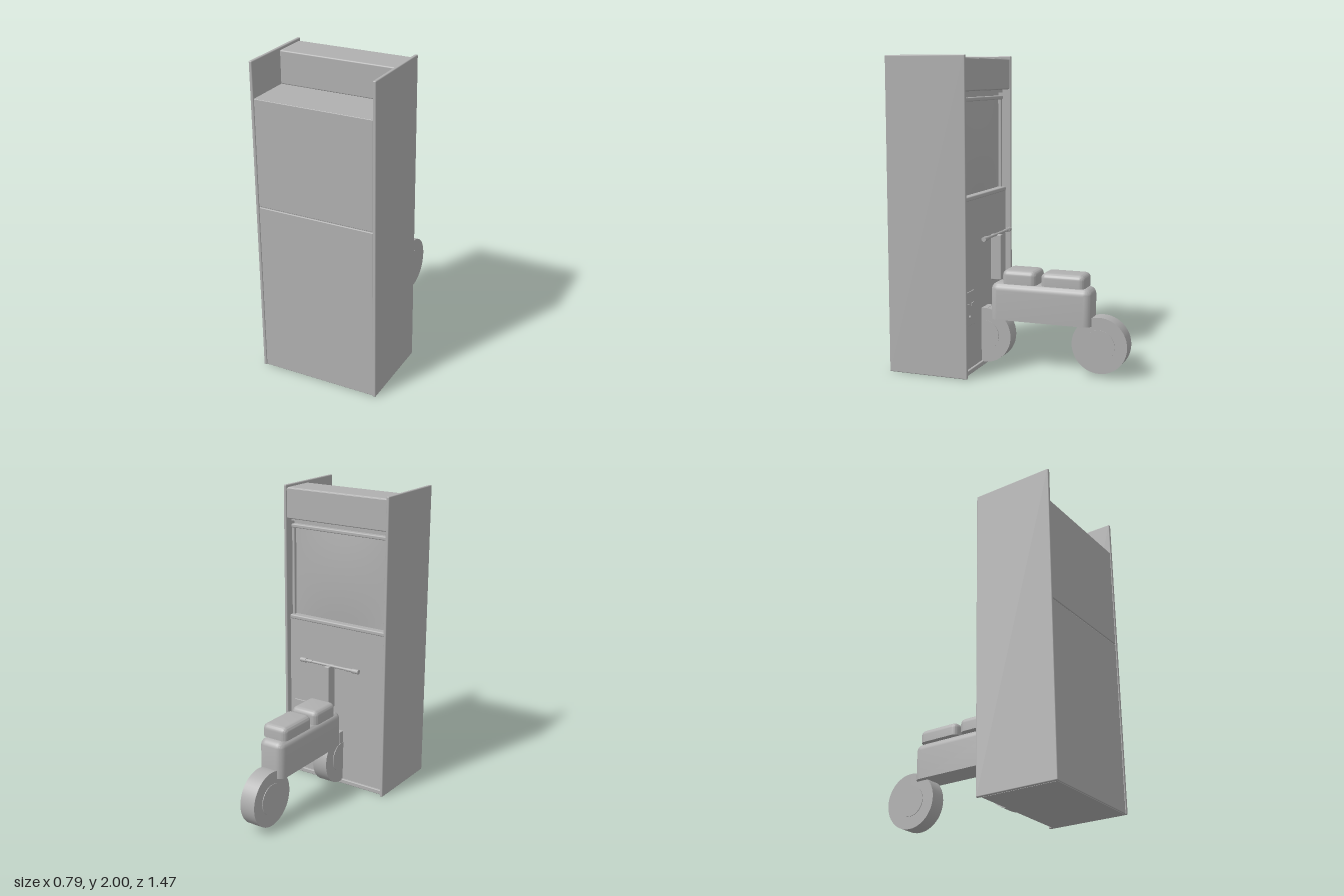
import * as THREE from 'three';
import { toCreasedNormals } from 'three/addons/utils/BufferGeometryUtils.js';
import { RoundedBoxGeometry } from 'three/addons/geometries/RoundedBoxGeometry.js';

const grey = new THREE.MeshStandardMaterial({ color: 0xb0b0b0 });
grey.name = 'grey';

function add(parent, name, geometry, x = 0, y = 0, z = 0) {
  const mesh = new THREE.Mesh(geometry, grey);
  mesh.name = name;
  mesh.position.set(x, y, z);
  parent.add(mesh);
  return mesh;
}

// Box given by its limits on each axis, optionally with rounded edges
function block(parent, name, [x0, x1], [y0, y1], [z0, z1], radius = 0) {
  const size = [x1 - x0, y1 - y0, z1 - z0];
  const geometry = radius ? new RoundedBoxGeometry(...size, 2, radius) : new THREE.BoxGeometry(...size);
  return add(parent, name, geometry, (x0 + x1) / 2, (y0 + y1) / 2, (z0 + z1) / 2);
}

// Rounded box whose lower half is squared off to a flat base
function cushion(parent, name, halfWidth, [y0, y1], [z0, z1], radius) {
  const h = y1 - y0;
  const geometry = new RoundedBoxGeometry(halfWidth * 2, h, z1 - z0, 5, radius);
  const p = geometry.attributes.position;
  for (let i = 0; i < p.count; i++) if (p.getY(i) < 0) p.setY(i, -h / 2);
  return add(parent, name, toCreasedNormals(geometry, 0.7), 0, (y0 + y1) / 2, (z0 + z1) / 2);
}

function rod(parent, name, radius, length, x, y, z) {
  const mesh = add(parent, name, new THREE.CylinderGeometry(radius, radius, length, 20), x, y, z);
  mesh.rotation.z = Math.PI / 2;
  return mesh;
}

function makeCabinet() {
  const g = new THREE.Group();
  g.name = 'cabinet';
  const inner = [-0.375, 0.375];

  // Side panels
  for (const s of [-1, 1]) {
    block(g, s > 0 ? 'leftSidePanel' : 'rightSidePanel',
      s > 0 ? [0.374, 0.394] : [-0.394, -0.374], [0, 2], [0.2, 0.735], 0.006);
  }

  // Main case, with a seam between the two outer doors
  block(g, 'lowerCase', inner, [0, 1.105], [0.24, 0.722]);
  block(g, 'upperCase', inner, [1.105, 1.775], [0.29, 0.722]);
  block(g, 'lowerDoor', inner, [0.003, 1.104], [0.715, 0.73], 0.004);
  block(g, 'upperDoor', inner, [1.11, 1.78], [0.715, 0.73], 0.004);
  block(g, 'caseTop', inner, [1.76, 1.78], [0.26, 0.728]);
  block(g, 'kickRail', inner, [0, 0.03], [0.225, 0.26], 0.005);

  // Marquee box at the top
  block(g, 'marqueeBox', inner, [1.78, 1.985], [0.215, 0.437], 0.008);
  block(g, 'marqueePlate', inner, [1.785, 1.98], [0.207, 0.222], 0.004);

  // Screen, gently bulging, with rails and side strips
  const screen = new THREE.PlaneGeometry(0.73, 0.6, 16, 12);
  const p = screen.attributes.position;
  for (let i = 0; i < p.count; i++) {
    const u = p.getX(i) / 0.365, v = p.getY(i) / 0.3;
    p.setZ(i, 0.016 * (1 - u * u) * (1 - v * v));
  }
  screen.computeVertexNormals();
  add(g, 'screen', screen, 0, 1.425, 0.283).rotation.y = Math.PI;
  block(g, 'screenTopRail', inner, [1.715, 1.74], [0.255, 0.295], 0.007);
  block(g, 'screenBottomRail', inner, [1.1, 1.128], [0.235, 0.295], 0.008);
  for (const s of [-1, 1]) {
    block(g, 'screenSideStrip', s > 0 ? [0.355, 0.375] : [-0.375, -0.355], [1.12, 1.72], [0.262, 0.295], 0.005);
  }

  // Coin door with slots and a lock
  block(g, 'coinDoor', [0.19, 0.34], [0.31, 0.53], [0.233, 0.242], 0.003);
  for (const x of [0.228, 0.302]) {
    block(g, 'coinSlot', [x - 0.02, x + 0.02], [0.435, 0.455], [0.227, 0.236]);
  }
  add(g, 'coinLock', new THREE.CylinderGeometry(0.01, 0.01, 0.012, 16), 0.265, 0.37, 0.231).rotation.x = Math.PI / 2;
  return g;
}

function makeBike() {
  const g = new THREE.Group();
  g.name = 'rideOnBike';

  // Body and two seat cushions
  cushion(g, 'bikeBody', 0.09, [0.32, 0.56], [-0.502, 0.17], 0.05);
  cushion(g, 'frontSeat', 0.098, [0.56, 0.65], [-0.143, 0.083], 0.035);
  cushion(g, 'rearSeat', 0.09, [0.56, 0.645], [-0.46, -0.172], 0.035);

  // Wheels with raised hub discs
  for (const [name, z] of [['frontWheel', 0.22], ['rearWheel', -0.552]]) {
    rod(g, name, 0.18, 0.106, 0, 0.202, z).geometry = new THREE.CylinderGeometry(0.18, 0.18, 0.106, 48);
    rod(g, name + 'Hub', 0.1, 0.114, 0, 0.202, z).geometry = new THREE.CylinderGeometry(0.1, 0.1, 0.114, 32);
  }
  block(g, 'cabinetMount', [-0.055, 0.055], [0.25, 0.382], [0.2, 0.26]);

  // Steering post and handlebar
  block(g, 'steeringPost', [-0.018, 0.018], [0.565, 0.862], [0.118, 0.19], 0.006);
  rod(g, 'handlebar', 0.009, 0.4, 0, 0.862, 0.152);
  for (const s of [-1, 1]) rod(g, 'handGrip', 0.015, 0.045, s * 0.204, 0.862, 0.152);
  for (const s of [-1, 1]) rod(g, 'gripSleeve', 0.011, 0.05, s * 0.16, 0.862, 0.152);
  return g;
}

export function createModel() {
  const model = new THREE.Group();
  model.name = 'motorbikeArcadeMachine';
  model.add(makeCabinet(), makeBike());
  return model;
}
